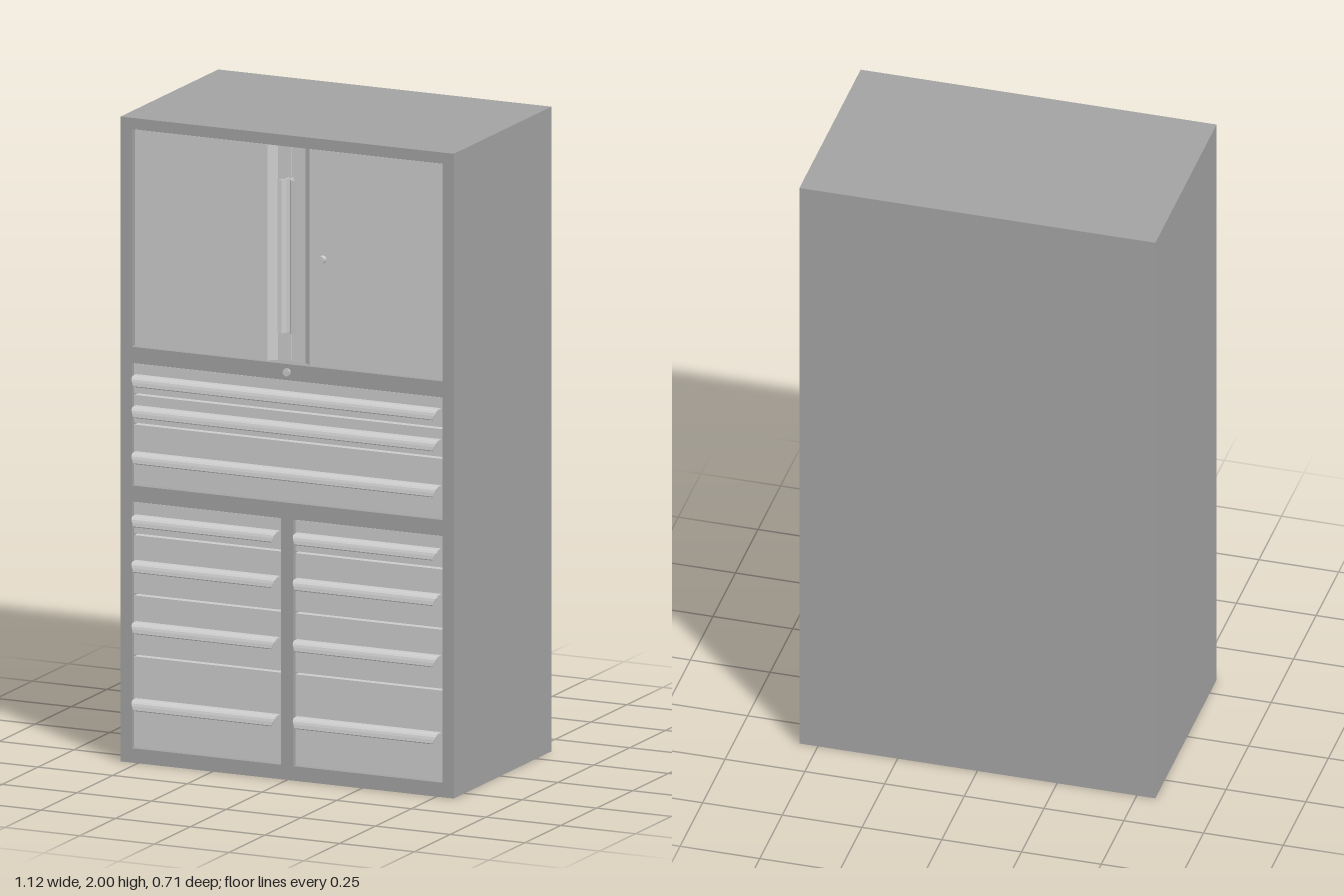
import * as THREE from 'three';

const FRONT = 0.325, BACK = -0.355, HALF_W = 0.558;
const CAVITY = 0.28; // back of the openings in the face frame
const PANEL = 0.315; // front of doors and drawers

const bodyMat = new THREE.MeshStandardMaterial({ color: 0xa2a2a2 });
const greyMat = new THREE.MeshStandardMaterial({ color: 0xcccccc });

function add(group, name, geometry, material = greyMat) {
  const mesh = new THREE.Mesh(geometry, material);
  mesh.name = name;
  group.add(mesh);
  return mesh;
}

// Box given by its limits
function box(x0, x1, y0, y1, z0, z1) {
  return new THREE.BoxGeometry(x1 - x0, y1 - y0, z1 - z0)
    .translate((x0 + x1) / 2, (y0 + y1) / 2, (z0 + z1) / 2);
}

const rect = (x0, x1, y0, y1) =>
  [[x0, y0], [x1, y0], [x1, y1], [x0, y1]].map(p => new THREE.Vector2(...p));

function extrude(points, depth, holes = []) {
  const shape = new THREE.Shape(points);
  shape.holes = holes.map(h => new THREE.Path(h));
  return new THREE.ExtrudeGeometry(shape, { depth, bevelEnabled: false });
}

// Extrude a plan outline of (x, -z) points upward from y0
const extrudeUp = (points, y0, y1, holes) =>
  extrude(points, y1 - y0, holes).rotateX(-Math.PI / 2).translate(0, y0, 0);

// Folded sheet pull: flat top, curved nose, lip with slanted ends
function pullGeometry(width) {
  const outer = [[0.314, 0.014], [0.336, 0.014], [0.344, 0.011],
    [0.35, 0.005], [0.353, -0.003], [0.355, -0.014]];
  const inner = outer.map(([z, y]) => [z - 0.003, y - 0.003]).reverse();
  const outline = [...outer, ...inner].map(p => new THREE.Vector2(...p));
  const geo = extrude(outline, width)
    .rotateY(-Math.PI / 2).translate(width / 2, 0, 0);
  const pos = geo.attributes.position;
  for (let i = 0; i < pos.count; i++) {
    const inset = Math.max(0, 0.008 - pos.getY(i)) * 0.45;
    pos.setX(i, pos.getX(i) - Math.sign(pos.getX(i)) * inset);
  }
  geo.computeVertexNormals();
  return geo;
}

// Stack of drawers: edges run from top to bottom, one pull height per drawer
function drawerBank(name, x0, x1, edges, pulls) {
  const bank = new THREE.Group();
  bank.name = name;
  const gap = 0.003;
  pulls.forEach((y, i) => {
    add(bank, 'drawerFront',
      box(x0 + gap, x1 - gap, edges[i + 1] + gap, edges[i] - gap, CAVITY, PANEL));
    add(bank, 'drawerPull', pullGeometry(x1 - x0 - 0.018))
      .position.set((x0 + x1) / 2, y, 0);
  });
  return bank;
}

function lock(group, name, x, y, z0) {
  const length = 0.332 - z0;
  add(group, name, new THREE.CylinderGeometry(0.012, 0.012, length, 20)
    .rotateX(Math.PI / 2).translate(x, y, z0 + length / 2));
  add(group, name + 'Core', new THREE.CylinderGeometry(0.006, 0.006, 0.002, 16)
    .rotateX(Math.PI / 2).translate(x, y, 0.332));
}

// Door with a sloped step down to a sunken strip beside the centre seam
function door(side) {
  const group = new THREE.Group();
  group.name = side > 0 ? 'leftDoor' : 'rightDoor';
  const plan = points => points.map(([x, z]) => new THREE.Vector2(side * x, -z));
  add(group, 'doorPanel', extrudeUp(plan([
    [0.002, CAVITY], [0.514, CAVITY], [0.514, PANEL],
    [0.07, PANEL], [0.046, 0.294], [0.002, 0.294],
  ]), 1.292, 1.962));
  // Bent grip rising from the sunken strip
  add(group, 'doorPull', extrudeUp(plan([
    [0.004, 0.292], [0.009, 0.292], [0.011, 0.316], [0.018, 0.326],
    [0.03, 0.328], [0.03, 0.331], [0.016, 0.33], [0.006, 0.318],
  ]), 1.385, 1.862));
  return group;
}

export function createModel() {
  const model = new THREE.Group();
  model.name = 'storageCabinet';

  // Case with a shallow recess underneath
  const body = new THREE.Group();
  body.name = 'body';
  model.add(body);
  add(body, 'case', box(-HALF_W, HALF_W, 0.035, 2, BACK, CAVITY), bodyMat);
  add(body, 'baseRim', extrudeUp(rect(-HALF_W, HALF_W, -CAVITY, -BACK), 0, 0.035,
    [rect(-0.51, 0.51, -0.195, 0.225)]), bodyMat);

  // Face frame around the doors and drawer banks
  add(body, 'faceFrame', extrude(rect(-HALF_W, HALF_W, 0, 2), FRONT - CAVITY, [
    rect(-0.52, 0.52, 1.29, 1.965),
    rect(-0.52, 0.52, 0.86, 1.24),
    rect(-0.52, -0.02, 0.045, 0.81),
    rect(0.02, 0.52, 0.045, 0.81),
  ]).translate(0, 0, CAVITY), bodyMat);

  model.add(door(1), door(-1));
  lock(model, 'doorLock', 0.115, 1.625, PANEL);
  lock(model, 'drawerLock', 0, 1.265, FRONT);

  // Wide drawers above, two mirrored banks below
  model.add(drawerBank('upperDrawers', -0.52, 0.52,
    [1.24, 1.142, 1.05, 0.86], [1.19, 1.094, 0.951]));
  const edges = [0.81, 0.707, 0.52, 0.331, 0.045];
  const pulls = [0.755, 0.614, 0.424, 0.185];
  model.add(drawerBank('lowerRightDrawers', -0.52, -0.02, edges, pulls));
  model.add(drawerBank('lowerLeftDrawers', 0.02, 0.52, edges, pulls));

  return model;
}
